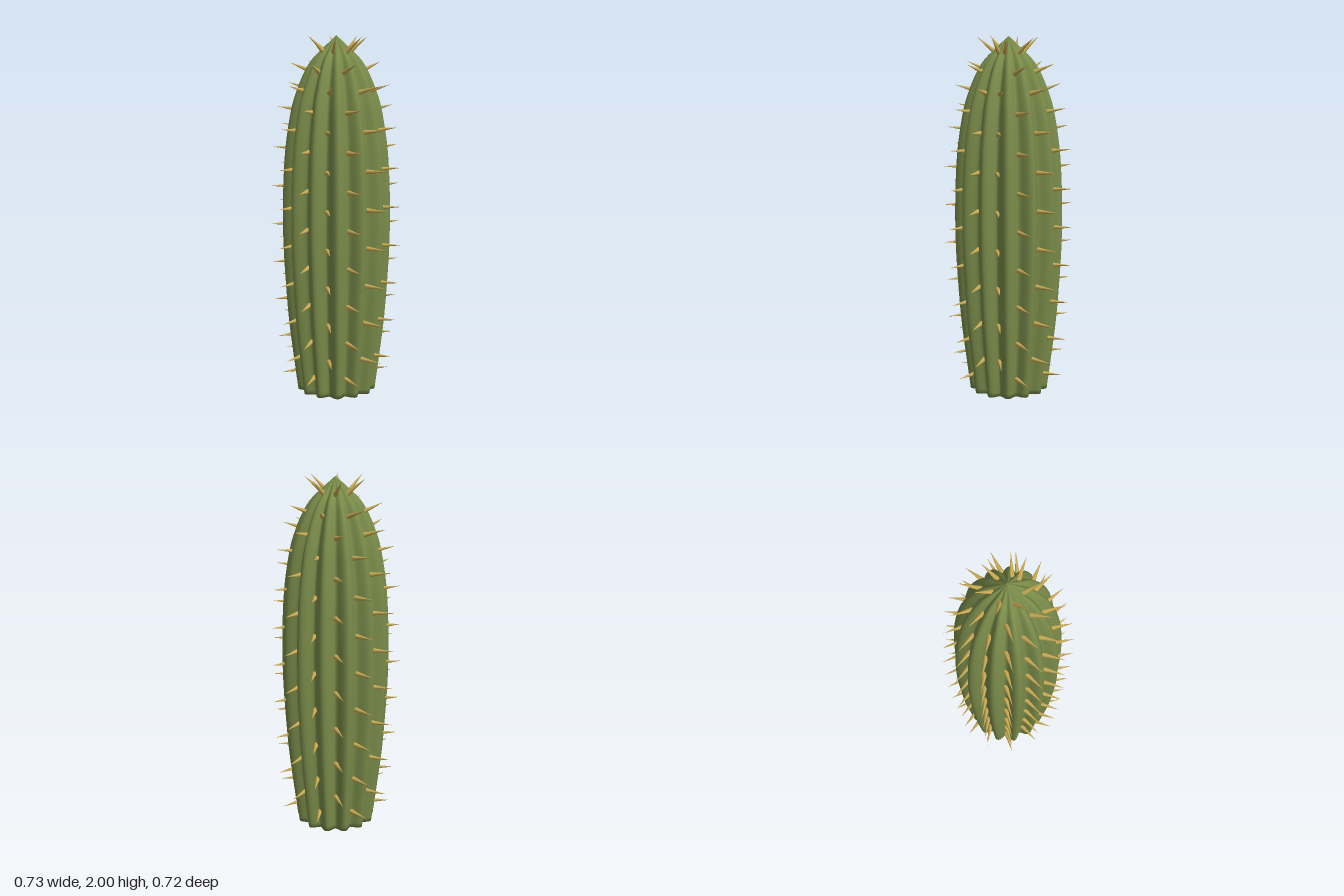
import * as THREE from 'three';
import { mergeVertices } from 'three/addons/utils/BufferGeometryUtils.js';

const RIBS = 13;
const VALLEY = 0.81; // valley radius relative to the ridge radius

// ridge radius and height, bottom to top
const profile = new THREE.SplineCurve([
  [0.22, 0], [0.246, 0.2], [0.27, 0.4], [0.287, 0.62], [0.299, 0.85], [0.3, 1.06], [0.294, 1.25],
  [0.28, 1.42], [0.25, 1.6], [0.22, 1.7], [0.183, 1.79], [0.137, 1.868], [0.07, 1.935], [0, 2],
].map(([r, y]) => new THREE.Vector2(r, y))).getPoints(65);

function ridgeRadius(y) {
  let i = 1;
  while (i < profile.length - 1 && profile[i].y < y) i++;
  const a = profile[i - 1], b = profile[i];
  return THREE.MathUtils.mapLinear(y, a.y, b.y, a.x, b.x);
}

// ribbed body: a lathe whose radius swells at every rib
function makeBody(material) {
  const points = [new THREE.Vector2(0, 0), ...profile];
  points[points.length - 1].x = 0;
  const geometry = new THREE.LatheGeometry(points, RIBS * 10);
  const pos = geometry.attributes.position;
  for (let i = 0; i < pos.count; i++) {
    const angle = Math.atan2(pos.getZ(i), pos.getX(i));
    const swell = Math.pow(Math.max(0, 0.5 - 0.5 * Math.cos(RIBS * angle)), 0.8);
    const k = VALLEY + (1 - VALLEY) * swell;
    pos.setX(i, pos.getX(i) * k);
    pos.setZ(i, pos.getZ(i) * k);
  }
  geometry.deleteAttribute('uv');
  geometry.deleteAttribute('normal');
  const smooth = mergeVertices(geometry, 1e-5);
  smooth.computeVertexNormals();
  const body = new THREE.Mesh(smooth, material);
  body.name = 'ribbedBody';
  return body;
}

// one column of spines in every valley, at staggered heights
function makeSpines(material) {
  const group = new THREE.Group();
  group.name = 'spines';
  const cone = new THREE.ConeGeometry(0.0155, 0.14, 8);
  cone.translate(0, 0.058, 0);
  const up = new THREE.Vector3(0, 1, 0);
  for (let column = 0; column < RIBS; column++) {
    const angle = (column + 1) * 2 * Math.PI / RIBS;
    const yaw = angle - 0.35; // spines lean sideways around the stem
    const start = column % 2 ? 0.105 : 0.212;
    for (let row = 0; row < 9; row++) {
      const y = start + row * 0.2125;
      const r = ridgeRadius(y) * VALLEY;
      const slope = (ridgeRadius(y + 0.02) - ridgeRadius(y - 0.02)) / 0.04;
      const pitch = Math.atan(-slope * VALLEY);
      const dir = new THREE.Vector3(
        Math.cos(pitch) * Math.cos(yaw), Math.sin(pitch), Math.cos(pitch) * Math.sin(yaw));
      const spine = new THREE.Mesh(cone, material);
      spine.name = 'spine';
      spine.position.set(r * Math.cos(angle), y, r * Math.sin(angle));
      spine.quaternion.setFromUnitVectors(up, dir);
      group.add(spine);
    }
  }
  return group;
}

export function createModel() {
  const green = new THREE.MeshStandardMaterial({ color: 0x7a8c4a });
  green.name = 'cactusGreen';
  const straw = new THREE.MeshStandardMaterial({ color: 0xc9aa52 });
  straw.name = 'spineStraw';
  const model = new THREE.Group();
  model.name = 'columnCactus';
  model.add(makeBody(green), makeSpines(straw));
  return model;
}
